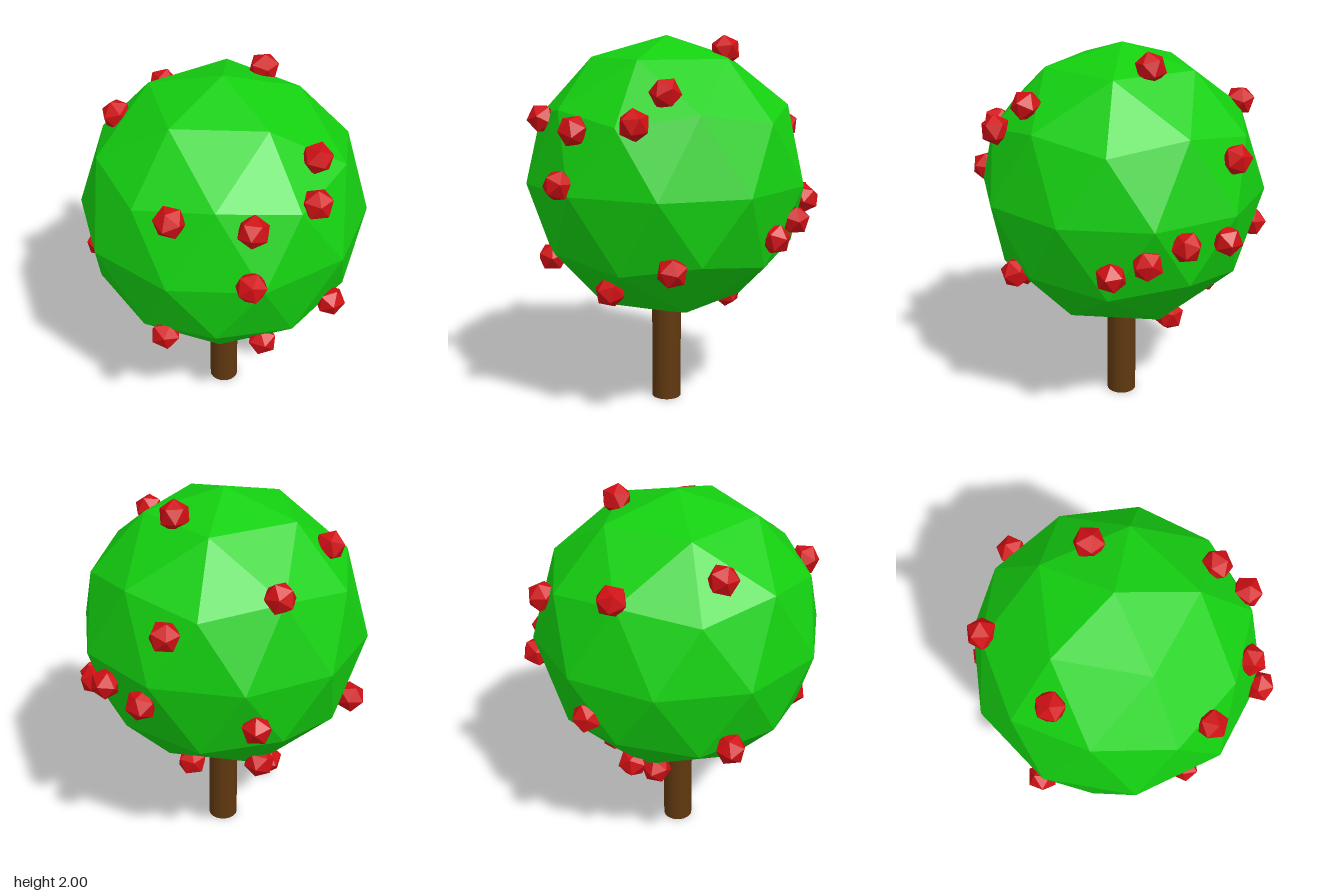
import * as THREE from 'three';

const CENTRE = new THREE.Vector3(-0.025, 1.245, -0.022);
const CROWN_RADIUS = 0.755;
const FRUIT_RADIUS = 0.081;

// Fruit centres, spread over the crown
const FRUITS = [
  [-0.42, 1.58, 0.51], [-0.06, 1.555, 0.65], [0.27, 1.6, 0.58], [0.32, 1.74, 0.41],
  [-0.09, 1.295, 0.73], [0.415, 0.89, 0.475], [0.04, 0.735, 0.51], [-0.45, 0.825, 0.43],
  [0.235, 1.923, -0.19], [-0.52, 1.745, -0.23], [-0.2, 1.67, -0.63], [0.33, 1.505, -0.62],
  [0.665, 1.0, -0.045], [0.665, 1.07, -0.22], [0.61, 1.15, -0.4], [0.45, 1.13, -0.59],
  [-0.09, 1.03, -0.72], [0.18, 0.576, -0.3], [-0.15, 0.665, -0.48], [-0.21, 0.6, -0.37],
  [-0.66, 0.91, -0.3],
];

// Subdivided icosahedron standing on a pole: two rings of five between the poles
function poleIcosphere(radius, detail) {
  const vertices = [0, 1, 0];
  const h = 1 / Math.sqrt(5);
  for (const [y, offset] of [[h, 0], [-h, 0.5]]) {
    for (let k = 0; k < 5; k++) {
      const a = ((k + offset) / 5) * Math.PI * 2;
      vertices.push(2 * h * Math.cos(a), y, -2 * h * Math.sin(a));
    }
  }
  vertices.push(0, -1, 0);
  const faces = [];
  for (let k = 0; k < 5; k++) {
    const n = (k + 1) % 5;
    const [u, un, l, ln] = [1 + k, 1 + n, 6 + k, 6 + n];
    faces.push(0, u, un, u, l, un, l, ln, un, 11, ln, l);
  }
  const geometry = new THREE.PolyhedronGeometry(vertices, faces, radius, detail);
  geometry.computeVertexNormals();
  return geometry;
}

export function createModel() {
  const tree = new THREE.Group();
  tree.name = 'fruitTree';

  const green = new THREE.MeshStandardMaterial({ color: 0x14d010, flatShading: true });
  const red = new THREE.MeshStandardMaterial({ color: 0xd01014, flatShading: true });
  const brown = new THREE.MeshStandardMaterial({ color: 0x60380f });

  // Trunk, ending inside the crown
  const trunk = new THREE.Mesh(new THREE.CylinderGeometry(0.08, 0.08, 0.65, 32), brown);
  trunk.name = 'trunk';
  trunk.position.set(CENTRE.x, 0.325, CENTRE.z);
  tree.add(trunk);

  // Faceted crown
  const crown = new THREE.Mesh(poleIcosphere(CROWN_RADIUS, 1), green);
  crown.name = 'crown';
  crown.position.copy(CENTRE);
  tree.add(crown);

  // Fruits, half sunk in the crown and turned outward
  const fruits = new THREE.Group();
  fruits.name = 'fruits';
  const fruitGeometry = new THREE.IcosahedronGeometry(FRUIT_RADIUS, 0);
  FRUITS.forEach((p, i) => {
    const fruit = new THREE.Mesh(fruitGeometry, red);
    fruit.name = `fruit${i + 1}`;
    fruit.position.set(...p);
    fruit.lookAt(fruit.position.clone().multiplyScalar(2).sub(CENTRE));
    fruit.rotateZ(i * 2.4);
    fruits.add(fruit);
  });
  tree.add(fruits);

  return tree;
}
